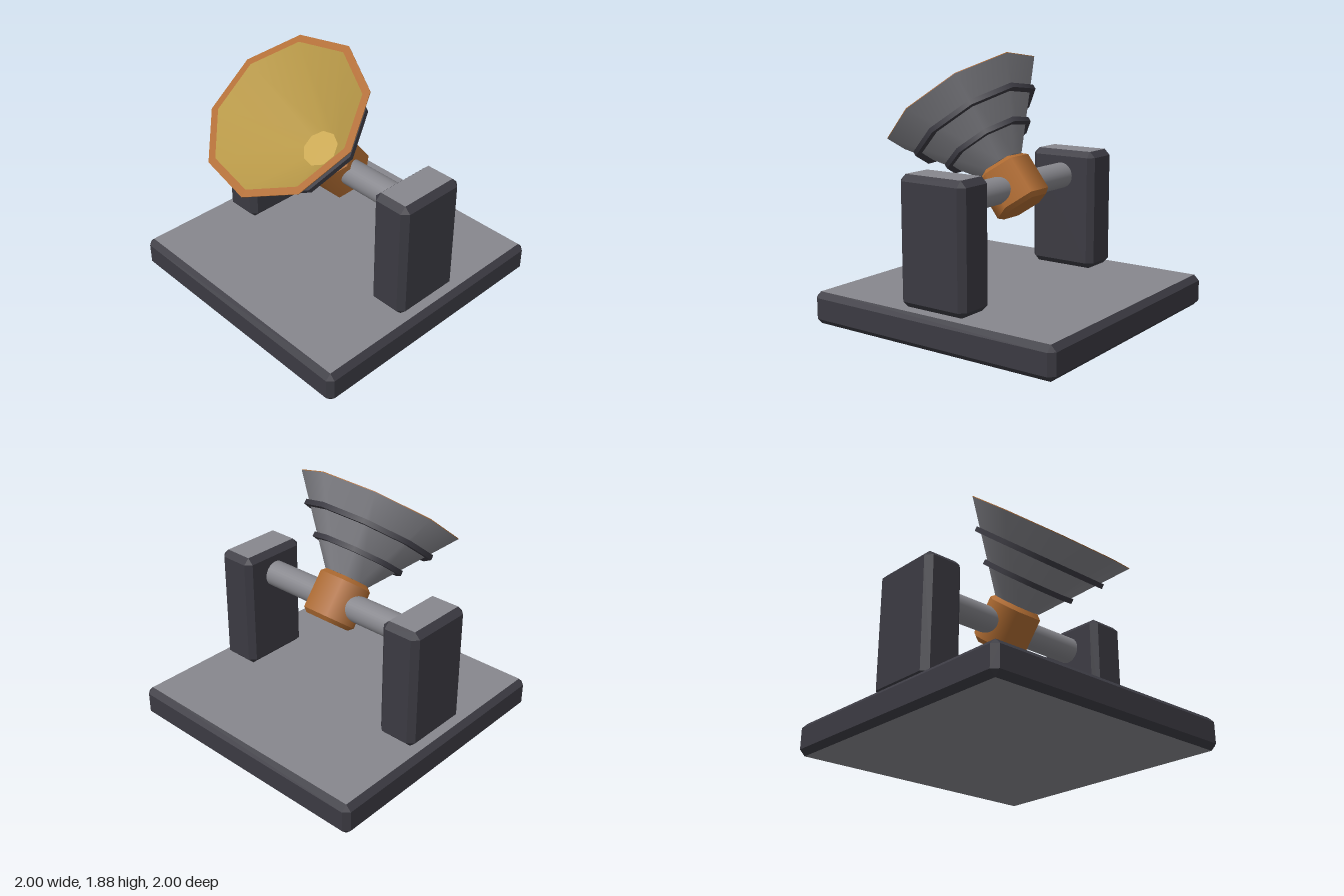
import * as THREE from 'three';
import { mergeGeometries } from 'three/addons/utils/BufferGeometryUtils.js';
import { ConvexGeometry } from 'three/addons/geometries/ConvexGeometry.js';

const material = (name, color) => {
  const m = new THREE.MeshStandardMaterial({ color });
  m.name = name;
  return m;
};

// Box with every edge chamfered; top and bottom faces take the first material.
function chamferedBox(w, h, d, c) {
  const [x, y, z] = [w / 2, h / 2, d / 2];
  const points = [];
  for (const sx of [-1, 1]) for (const sy of [-1, 1]) for (const sz of [-1, 1]) {
    points.push(
      new THREE.Vector3(sx * x, sy * (y - c), sz * (z - c)),
      new THREE.Vector3(sx * (x - c), sy * y, sz * (z - c)),
      new THREE.Vector3(sx * (x - c), sy * (y - c), sz * z));
  }
  const geometry = new ConvexGeometry(points);
  const normal = geometry.attributes.normal;
  for (let i = 0; i < normal.count; i += 3) {
    geometry.addGroup(i, 3, Math.abs(normal.getY(i)) > 0.99 ? 0 : 1);
  }
  return geometry;
}

// Turned shape: smooth around the axis, sharp between the profile's [radius, height] points.
function turned(profile, sides) {
  const bands = [];
  for (let i = 0; i + 1 < profile.length; i++) {
    const pair = [profile[i], profile[i + 1]].map(([r, y]) => new THREE.Vector2(r, y));
    bands.push(new THREE.LatheGeometry(pair, sides, Math.PI / 2));
  }
  return mergeGeometries(bands);
}

export function createModel() {
  const dark = material('dark frame', 0x3b3a42);
  const grey = material('grey metal', 0x87878d);
  const copper = material('copper', 0xb06c32);
  const gold = material('gold lining', 0xc8a64f);

  const model = new THREE.Group();
  model.name = 'tiltingDish';
  const add = (parent, name, geometry, mat) => {
    const mesh = new THREE.Mesh(geometry, mat);
    mesh.name = name;
    parent.add(mesh);
    return mesh;
  };

  // Base plate and the two supports
  add(model, 'base', chamferedBox(2, 0.23, 2, 0.04), [grey, dark]).position.y = 0.115;
  for (const side of [-1, 1]) {
    const post = add(model, side > 0 ? 'leftPost' : 'rightPost',
      chamferedBox(0.3, 0.89, 0.54, 0.043), [grey, dark]);
    post.position.set(side * 0.77, 0.675, 0);
  }

  // Axle between the supports
  const axle = add(model, 'axle', new THREE.CylinderGeometry(0.096, 0.096, 1.83, 32), grey);
  axle.rotation.z = Math.PI / 2;
  axle.position.y = 0.93;

  // Tilted head turning on the axle
  const head = new THREE.Group();
  head.name = 'head';
  head.position.y = 0.93;
  head.rotation.x = THREE.MathUtils.degToRad(38);
  model.add(head);

  // Six-sided hub with chamfered ends
  add(head, 'hub', turned([
    [0, -0.165], [0.175, -0.165], [0.21, -0.135],
    [0.21, 0.145], [0.175, 0.175], [0, 0.175],
  ], 6), copper);

  // Nine-sided dish: outer shell, rim and lining
  add(head, 'dishShell', turned([[0, 0.175], [0.172, 0.175], [0.61, 0.73]], 9), grey);
  add(head, 'dishRim', turned([[0.61, 0.73], [0.61, 0.735], [0.555, 0.735]], 9), copper);
  add(head, 'dishLining', turned([[0.555, 0.735], [0.135, 0.235], [0, 0.235]], 9), gold);

  // Reinforcing rings around the shell
  for (const [name, radius, y] of [['upperRing', 0.497, 0.541], ['lowerRing', 0.347, 0.357]]) {
    const inner = radius - 0.06;
    const h = 0.018;
    add(head, name, turned([
      [inner, y - h], [radius, y - h], [radius, y + h], [inner, y + h], [inner, y - h],
    ], 9), dark);
  }

  return model;
}
